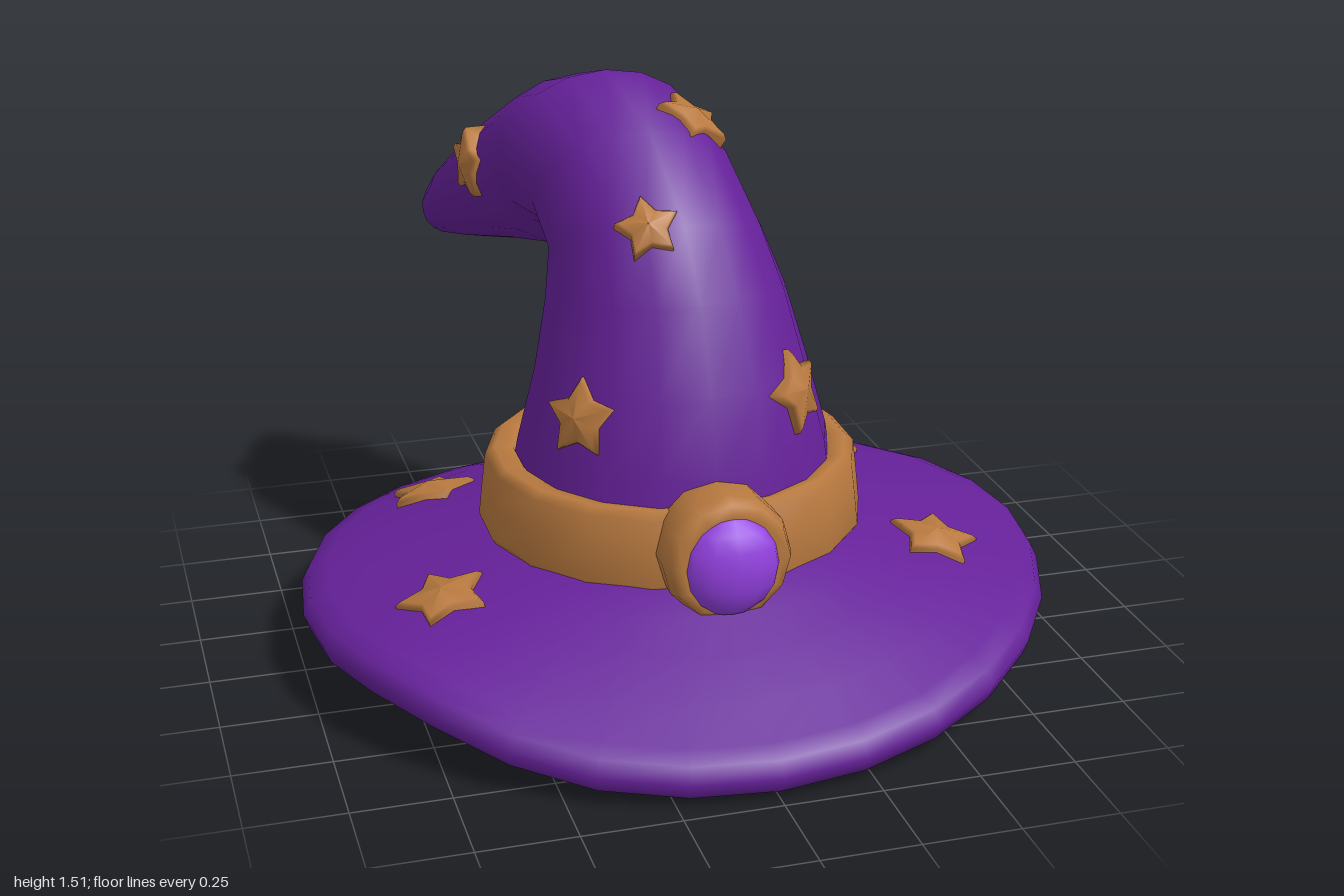
import * as THREE from 'three';

const purple = new THREE.MeshStandardMaterial({ color: 0x66219a });
purple.name = 'purple felt';
const gold = new THREE.MeshStandardMaterial({ color: 0xb8793f });
gold.name = 'golden trim';
const violet = new THREE.MeshStandardMaterial({ color: 0x9340e0 });
violet.name = 'violet gem';

function named(name, geometry, material) {
  const mesh = new THREE.Mesh(geometry, material);
  mesh.name = name;
  return mesh;
}

// Skin a closed tube over rings; point(ring, angle) returns [x, y, z]
function loft(rings, segments, point) {
  const positions = [], index = [];
  rings.forEach((ring, i) => {
    for (let j = 0; j < segments; j++) {
      positions.push(...point(ring, (j / segments) * Math.PI * 2));
      if (i === rings.length - 1) continue;
      const a = i * segments + j, b = i * segments + ((j + 1) % segments);
      index.push(a, b, b + segments, a, b + segments, a + segments);
    }
  });
  const g = new THREE.BufferGeometry();
  g.setAttribute('position', new THREE.Float32BufferAttribute(positions, 3));
  g.setIndex(index);
  g.computeVertexNormals();
  return g;
}

// Height of the drooping brim edge around the hat (angle 0 is the front)
function edgeHeight(angle) {
  const c = Math.cos(angle), s = Math.sin(angle);
  const fromWave = Math.atan2(s, c) + 1.0;
  const wave = 0.05 * Math.exp(-((fromWave / 0.35) ** 2));
  return 0.18 - 0.085 * c * c - 0.035 * c + 0.015 * s + wave;
}

// Brim: underside outward, round the rim, then up to the crown
function makeBrim() {
  // [radius, offset from edge height, blend to inner height, inner height]
  const rings = [
    [0.001, -0.04, 1, 0.15], [0.5, -0.05, 0.6, 0.15], [0.85, -0.055, 0.1, 0.15],
    [0.93, -0.06, 0, 0], [0.985, -0.035, 0, 0], [1, 0.005, 0, 0],
    [0.98, 0.045, 0, 0], [0.93, 0.065, 0, 0],
    [0.82, 0.065, 0.27, 0.35], [0.7, 0.065, 0.52, 0.35], [0.58, 0.065, 0.78, 0.35],
    [0.47, 0.065, 1, 0.35], [0.38, 0.065, 1, 0.37],
  ];
  const g = loft(rings, 28, ([r, offset, blend, inner], a) => [
    r * Math.sin(a),
    THREE.MathUtils.lerp(edgeHeight(a) + offset, inner, blend),
    0.03 * r + 0.96 * r * Math.cos(a),
  ]);
  return named('brim', g, purple);
}

// Crown: sections fan round the fold and taper to the bent tip
function makeCrown() {
  // [front z, front y, back z, back y, centre x, half width]
  const sections = [
    [0.45, 0.36, -0.43, 0.36, 0, 0.45],
    [0.43, 0.6, -0.37, 0.58, 0, 0.41],
    [0.38, 0.8, -0.345, 0.75, 0, 0.36],
    [0.3, 1.02, -0.34, 0.9, -0.005, 0.315],
    [0.21, 1.2, -0.335, 0.99, -0.02, 0.28],
    [0.03, 1.41, -0.335, 1.02, -0.06, 0.265],
    [-0.22, 1.51, -0.345, 1.03, -0.11, 0.28],
    [-0.42, 1.455, -0.41, 0.98, -0.14, 0.265],
    [-0.62, 1.33, -0.6, 0.945, -0.225, 0.205],
    [-0.82, 1.16, -0.81, 0.9, -0.335, 0.145],
    [-0.95, 1.045, -0.93, 0.88, -0.4, 0.08],
    [-1.0, 0.98, -0.985, 0.91, -0.43, 0.03],
    [-0.995, 0.945, -0.995, 0.943, -0.43, 0.001],
  ];
  const g = loft(sections, 18, ([fz, fy, bz, by, cx, w], a) => {
    const t = (1 + Math.cos(a)) / 2;
    return [cx + w * Math.sin(a), by + (fy - by) * t, bz + (fz - bz) * t];
  });
  return named('crown', g, purple);
}

// Band: soft ring sloping up slightly to the back
function makeBand() {
  const profile = [
    [0.42, 0.32], [0.49, 0.325], [0.515, 0.36], [0.505, 0.45],
    [0.495, 0.53], [0.47, 0.55], [0.42, 0.545], [0.4, 0.5],
  ];
  const g = loft(profile, 18, ([r, y], a) => {
    const z = r * 0.94 * Math.cos(a);
    return [r * Math.sin(a), y - 0.03 * z, z + 0.01];
  });
  return named('band', g, gold);
}

// Buckle: a collar with a domed gem
function makeBuckle() {
  const group = new THREE.Group();
  group.name = 'buckle';
  const profile = [[0.165, 0], [0.168, 0.1], [0.155, 0.14], [0.13, 0.155], [0.001, 0.14]];
  const collar = loft(profile, 12, ([r, z], a) => [r * Math.cos(a), r * Math.sin(a), z]);
  const frame = named('buckleFrame', collar, gold);
  frame.position.set(0, 0.435, 0.42);
  const dome = new THREE.SphereGeometry(1, 12, 8);
  dome.scale(0.128, 0.135, 0.075);
  const gem = named('gem', dome, violet);
  gem.position.set(0, 0.43, 0.555);
  group.add(frame, gem);
  return group;
}

// Plump five-pointed star with a raised middle
function starGeometry(radius) {
  const rings = [[1, -0.05], [1, 0.008], [0.88, 0.018], [0.001, 0.034]];
  const g = loft(rings, 10, ([scale, z], a) => {
    const r = radius * scale * (Math.round((a / Math.PI) * 5) % 2 ? 0.58 : 1);
    return [-r * Math.sin(a), r * Math.cos(a), z];
  });
  return g;
}

// Lay a star on a surface where a ray meets it
function placeStar(target, origin, direction, radius, spin) {
  const ray = new THREE.Raycaster(
    new THREE.Vector3(...origin), new THREE.Vector3(...direction));
  const hit = ray.intersectObject(target)[0];
  const star = named('star', starGeometry(radius), gold);
  if (hit) {
    star.position.copy(hit.point);
    star.lookAt(hit.point.clone().add(hit.face.normal));
    star.rotateZ(spin);
  }
  return star;
}

export function createModel() {
  const hat = new THREE.Group();
  hat.name = 'pointedHat';
  const brim = makeBrim(), crown = makeCrown();
  hat.add(brim, crown, makeBand(), makeBuckle());

  const stars = new THREE.Group();
  stars.name = 'stars';
  // Crown stars facing the front: x, y, radius, spin
  for (const [x, y, r, spin] of [
    [-0.3, 0.73, 0.105, 0.1], [0.26, 0.76, 0.115, 0.1],
    [-0.11, 1.2, 0.085, 0.2], [0.08, 1.4, 0.105, 0.6],
  ]) stars.add(placeStar(crown, [x, y, 3], [0, 0, -1], r, spin));
  // Stars on both sides of the bent tip
  stars.add(placeStar(crown, [3, 1.19, -0.7], [-1, 0, 0], 0.1, 0.2));
  stars.add(placeStar(crown, [-3, 1.2, -0.53], [1, 0, 0], 0.1, 0));
  // Brim stars: x, z, spin
  for (const [x, z, spin] of [
    [0.57, -0.44, 0.3], [0.66, 0.27, 0], [-0.57, -0.45, -0.4], [-0.67, 0.27, 0.2],
  ]) stars.add(placeStar(brim, [x, 3, z], [0, -1, 0], 0.125, spin));
  hat.add(stars);
  return hat;
}
